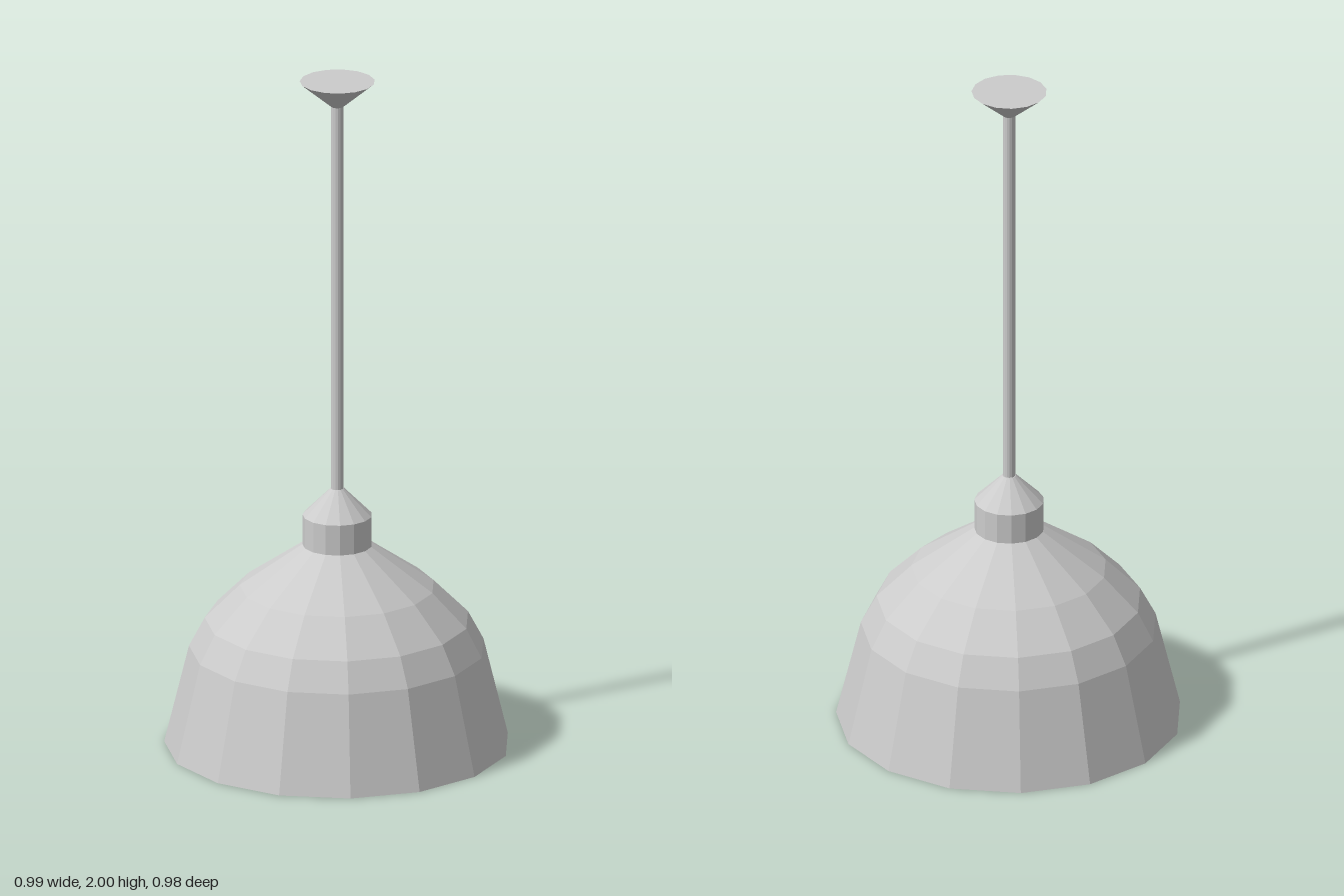
import * as THREE from 'three';

const SIDES = 15;

export function createModel() {
  const model = new THREE.Group();
  model.name = 'pendantLamp';
  const material = new THREE.MeshStandardMaterial({ color: 0xcccccc, flatShading: true });

  // Each part is a faceted turning; profile runs [radius, height] from bottom to top
  function turn(name, profile) {
    const points = profile.map(([r, y]) => new THREE.Vector2(r, y));
    const mesh = new THREE.Mesh(new THREE.LatheGeometry(points, SIDES, Math.PI), material);
    mesh.name = name;
    mesh.position.z = 0.005; // an odd number of sides is off-centre in depth
    model.add(mesh);
  }

  // Bell shade: flat inner ceiling, inner wall, rim, then the outer curve
  turn('shade', [
    [0, 0.26], [0.405, 0.26], [0.47, 0], [0.496, 0],
    [0.425, 0.29], [0.38, 0.375], [0.28, 0.475], [0.1, 0.6], [0, 0.6],
  ]);

  // Socket collar with its conical cap
  turn('collar', [[0, 0.598], [0.1, 0.598], [0.1, 0.69]]);
  turn('collarCap', [[0.1, 0.69], [0.02, 0.77], [0, 0.77]]);

  // Hanging rod
  turn('rod', [[0.018, 0.76], [0.018, 1.93]]);

  // Ceiling mount
  turn('ceilingMount', [[0, 1.925], [0.018, 1.925], [0.108, 2], [0, 2]]);

  return model;
}
